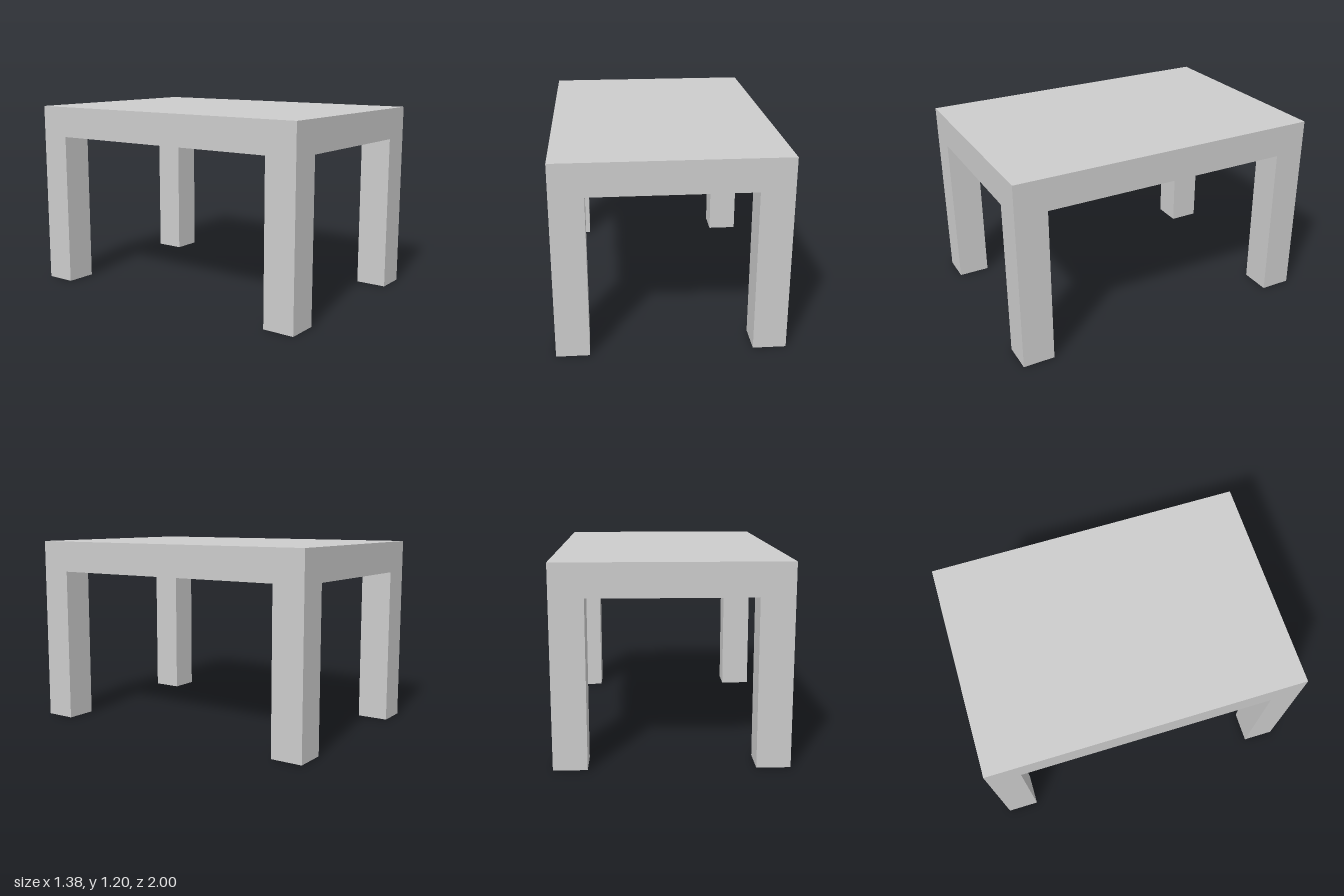
import * as THREE from 'three';

const WIDTH = 1.375, DEPTH = 2, HEIGHT = 1.2;
const TOP = 0.2; // thickness of the table top
const LEG = 0.2; // side of the square legs

export function createModel() {
  const model = new THREE.Group();
  model.name = 'table';
  const material = new THREE.MeshStandardMaterial({ color: 0xcccccc });

  // Thick slab top
  const top = new THREE.Mesh(new THREE.BoxGeometry(WIDTH, TOP, DEPTH), material);
  top.name = 'tableTop';
  top.position.y = HEIGHT - TOP / 2;
  model.add(top);

  // Square legs, flush with the corners
  const legHeight = HEIGHT - TOP;
  const legGeometry = new THREE.BoxGeometry(LEG, legHeight, LEG);
  for (const [sideName, sx] of [['Left', 1], ['Right', -1]]) {
    for (const [endName, sz] of [['front', 1], ['back', -1]]) {
      const leg = new THREE.Mesh(legGeometry, material);
      leg.name = `${endName}${sideName}Leg`;
      leg.position.set(sx * (WIDTH - LEG) / 2, legHeight / 2, sz * (DEPTH - LEG) / 2);
      model.add(leg);
    }
  }
  return model;
}
